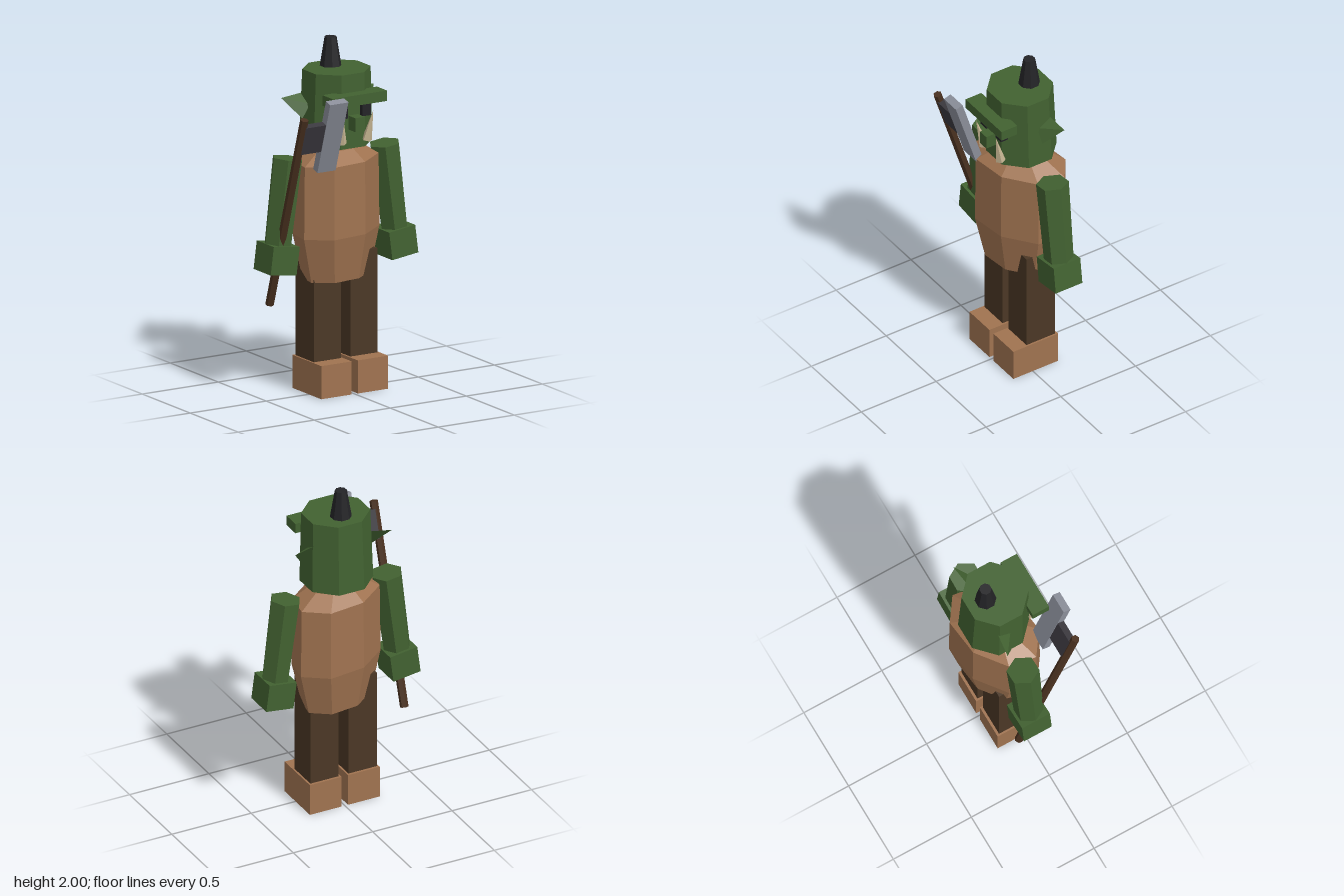
import * as THREE from 'three';

const mat = (name, color) => {
  const m = new THREE.MeshStandardMaterial({ color, flatShading: true });
  m.name = name;
  return m;
};

export function createModel() {
  const green = mat('green skin', 0x426231);
  const leather = mat('tan leather', 0xa07350);
  const cloth = mat('dark brown cloth', 0x4b3725);
  const wood = mat('handle wood', 0x4a3120);
  const black = mat('black hair and eyes', 0x232326);
  const iron = mat('dark iron', 0x3a383e);
  const steel = mat('steel', 0x8a8e99);
  const ivory = mat('ivory', 0xc9b894);

  const model = new THREE.Group();
  model.name = 'axeWarrior';

  const add = (name, geo, material, x, y, z, parent = model) => {
    const mesh = new THREE.Mesh(geo, material);
    mesh.name = name;
    mesh.position.set(x, y, z);
    parent.add(mesh);
    return mesh;
  };
  const box = (w, h, d) => new THREE.BoxGeometry(w, h, d);
  const prism = (top, bottom, h, sides) =>
    new THREE.CylinderGeometry(top, bottom, h, sides).rotateY(Math.PI / sides);

  // Torso: skewed octagonal rings, each [height, scale], closed at both ends
  const rings = [[0.645, 0], [0.645, 0.765], [0.905, 0.985], [1.32, 0.965], [1.385, 0.57], [1.385, 0]];
  const pos = [], index = [];
  for (const [y, s] of rings) {
    for (let i = 0; i < 8; i++) {
      const c = Math.cos((i * Math.PI) / 4) * s, n = Math.sin((i * Math.PI) / 4) * s;
      pos.push(0.285 * c - 0.08 * n, y, -0.115 * c - 0.187 * n);
    }
  }
  for (let r = 0; r < rings.length - 1; r++) {
    for (let i = 0; i < 8; i++) {
      const a = r * 8 + i, b = r * 8 + ((i + 1) % 8);
      if (r > 0) index.push(a, b, b + 8);
      else index.push(a, b + 8, a + 8);
      if (r > 0 && r < rings.length - 2) index.push(a, b + 8, a + 8);
    }
  }
  const torso = new THREE.BufferGeometry();
  torso.setAttribute('position', new THREE.Float32BufferAttribute(pos, 3));
  torso.setIndex(index);
  torso.computeVertexNormals();
  add('torso', torso, leather, 0, 0, -0.065);

  // Neck and head, the head slightly wider and further back at the bottom
  add('neck', prism(0.09, 0.09, 0.1, 8), green, 0, 1.38, -0.06);
  const head = prism(0.195, 0.208, 0.425, 8).scale(1, 1, 0.955);
  const hp = head.attributes.position;
  for (let i = 0; i < hp.count; i++) hp.setZ(i, hp.getZ(i) + hp.getY(i) * 0.02);
  add('head', head, green, 0, 1.622, -0.065);
  add('topknot', prism(0.034, 0.062, 0.17, 8), black, 0, 1.915, -0.122);
  add('brow', box(0.36, 0.06, 0.105), green, 0, 1.7, 0.13);
  add('nose', box(0.062, 0.08, 0.09), green, 0, 1.56, 0.14);

  for (const side of [1, -1]) {
    const label = side > 0 ? 'left' : 'right';

    // Legs and boots
    add(label + 'Leg', box(0.178, 0.66, 0.19), cloth, side * 0.12, 0.46, -0.06);
    add(label + 'Boot', box(0.2, 0.19, 0.3), leather, side * 0.12, 0.095, -0.02);

    // Arms angled slightly outwards, with blocky hands
    const tilt = side * 0.13;
    const arm = prism(0.09, 0.08, 0.56, 6).scale(1, 1, 1.03);
    add(label + 'Arm', arm, green, side * 0.355, 1.08, -0.065).rotation.z = tilt;
    add(label + 'Hand', box(0.172, 0.162, 0.178), green, side * 0.39, 0.793, -0.065).rotation.z = tilt;

    // Eyes
    add(label + 'Eye', box(0.057, 0.085, 0.05), black, side * 0.075, 1.632, 0.11);

    // Tusks leaning forwards
    const base = new THREE.Vector3(side * 0.083, 1.45, 0.125);
    const tip = new THREE.Vector3(side * 0.1, 1.625, 0.165);
    const axis = tip.clone().sub(base);
    const mid = base.clone().add(tip).multiplyScalar(0.5);
    const tusk = add(label + 'Tusk', new THREE.ConeGeometry(0.029, axis.length(), 5), ivory, mid.x, mid.y, mid.z);
    tusk.quaternion.setFromUnitVectors(new THREE.Vector3(0, 1, 0), axis.normalize());

    // Pointed ears: a thin tetrahedron swept out and back
    const p = [[0.305, 1.68, -0.155], [0.172, 1.65, -0.06], [0.222, 1.57, -0.063], [0.16, 1.7, -0.14]];
    const faces = [[0, 1, 2], [0, 3, 1], [0, 2, 3], [1, 3, 2]];
    const verts = faces.flatMap((f) => {
      const order = side > 0 ? f : [f[0], f[2], f[1]];
      return order.flatMap((k) => [p[k][0] * side, p[k][1], p[k][2]]);
    });
    const ear = new THREE.BufferGeometry();
    ear.setAttribute('position', new THREE.Float32BufferAttribute(verts, 3));
    ear.computeVertexNormals();
    add(label + 'Ear', ear, green, 0, 0, 0);
  }

  // Axe held in the right hand, leaning forwards
  const axe = new THREE.Group();
  axe.name = 'axe';
  axe.position.set(-0.393, 1.08, 0.047);
  axe.rotation.x = 0.309;
  model.add(axe);
  add('axeHandle', new THREE.CylinderGeometry(0.024, 0.024, 1.195, 6), wood, 0, 0, 0, axe);
  add('axeCheek', box(0.15, 0.172, 0.04), iron, 0.075, 0.467, 0, axe);
  add('axeBlade', box(0.12, 0.44, 0.046), steel, 0.199, 0.465, 0, axe);

  return model;
}
